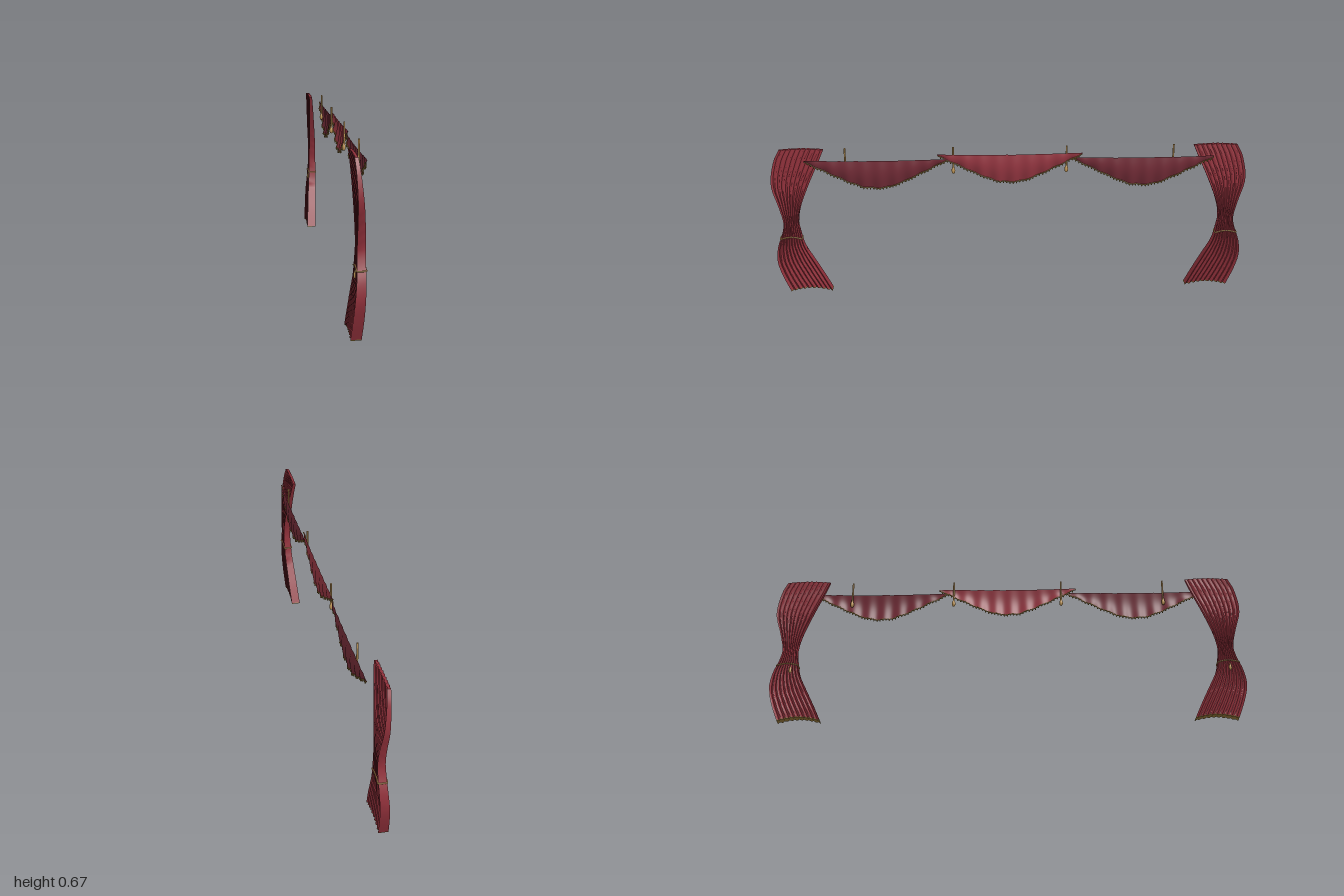
import * as THREE from 'three';
import { mergeGeometries, toCreasedNormals } from 'three/addons/utils/BufferGeometryUtils.js';

const mat = (name, color, side = THREE.FrontSide) => {
  const m = new THREE.MeshStandardMaterial({ color, side });
  m.name = name;
  return m;
};

// Curtain outline rows: height, inner z, outer z, back x, front x
const ROWS = [
  [0, 0.773, 0.952, -0.041, -0.001],
  [0.08, 0.81, 0.982, -0.035, 0.004],
  [0.15, 0.845, 0.998, -0.03, 0.007],
  [0.22, 0.878, 0.99, -0.024, 0.01],
  [0.28, 0.89, 0.968, -0.021, 0.011],
  [0.33, 0.896, 0.958, -0.019, 0.011],
  [0.4, 0.882, 0.972, -0.019, 0.009],
  [0.5, 0.842, 0.998, -0.021, 0.001],
  [0.6, 0.795, 0.982, -0.025, -0.009],
  [0.65, 0.773, 0.957, -0.029, -0.015],
];

// Smooth interpolation of the outline at height y
function outline(y) {
  let i = 0;
  while (i < ROWS.length - 2 && y > ROWS[i + 1][0]) i++;
  const a = ROWS[i], b = ROWS[i + 1], p = ROWS[Math.max(i - 1, 0)], n = ROWS[Math.min(i + 2, ROWS.length - 1)];
  const h = b[0] - a[0], t = (y - a[0]) / h, t2 = t * t, t3 = t2 * t;
  return [1, 2, 3, 4].map((k) => {
    const ma = ((b[k] - p[k]) / (b[0] - p[0])) * h, mb = ((n[k] - a[k]) / (n[0] - a[0])) * h;
    return (2 * t3 - 3 * t2 + 1) * a[k] + (t3 - 2 * t2 + t) * ma + (3 * t2 - 2 * t3) * b[k] + (t3 - t2) * mb;
  });
}

// Height of a curtain point: arched hem and slightly domed top
const lift = (y, s) =>
  y + Math.sin(Math.PI * s) * (0.015 * Math.max(0, 1 - y / 0.15) + 0.005 * Math.max(0, (y - 0.55) / 0.1));

// Pleated closed slab between two heights; side is +1 or -1 along z
function pleatedSlab(y0, y1, steps, side) {
  const pleats = 9, n = pleats * 12, loop = 2 * (n + 1), pos = [], idx = [];
  for (let j = 0; j <= steps; j++) {
    const y = y0 + ((y1 - y0) * j) / steps;
    const [zi, zo, xb, xf] = outline(y);
    for (let i = 0; i < loop; i++) {
      const front = i <= n, s = (front ? i : loop - 1 - i) / n;
      const dent = 0.3 * (xf - xb) * (1 - Math.abs(Math.cos(Math.PI * pleats * s)));
      pos.push(front ? xf - dent : xb + dent, lift(y, s), side * (zi + (zo - zi) * s));
    }
  }
  const tri = (a, b, c) => (side > 0 ? idx.push(a, b, c) : idx.push(a, c, b));
  for (let j = 0; j < steps; j++) {
    for (let i = 0; i < loop; i++) {
      const a = j * loop + i, b = j * loop + ((i + 1) % loop);
      tri(a, a + loop, b);
      tri(b, a + loop, b + loop);
    }
  }
  const top = steps * loop;
  for (let i = 0; i < n; i++) {
    const k = loop - 1 - i;
    tri(i, i + 1, k);
    tri(i + 1, k - 1, k);
    tri(top + i, top + k, top + i + 1);
    tri(top + i + 1, top + k, top + k - 1);
  }
  const g = new THREE.BufferGeometry();
  g.setAttribute('position', new THREE.Float32BufferAttribute(pos, 3));
  g.setIndex(idx);
  return toCreasedNormals(g, 0.8);
}

// Tieback cord looped round the curtain waist
function tiebackGeometry(side) {
  const [zi, zo, xb, xf] = outline(0.257), e = 0.0005, pts = [];
  for (let i = 0; i <= 6; i++) pts.push([xf + e, i / 6]);
  for (let i = 6; i >= 0; i--) pts.push([xb - e, i / 6]);
  const path = new THREE.CatmullRomCurve3(
    pts.map(([x, s]) => new THREE.Vector3(x, 0.257 + 0.009 * Math.sin(Math.PI * s), side * (zi - e + (zo - zi + 2 * e) * s))),
    true, 'catmullrom', 0.2);
  return new THREE.TubeGeometry(path, 96, 0.0027, 12, true);
}

// Smooth teardrop tassel hanging down from its origin
function tasselGeometry(r, h) {
  const profile = [[0, -1], [0.5, -0.96], [0.85, -0.84], [1, -0.66], [0.9, -0.46], [0.62, -0.27], [0.4, -0.12], [0, 0]];
  return new THREE.LatheGeometry(profile.map(([x, y]) => new THREE.Vector2(x * r, y * h)), 20);
}

// Swag drop below its top edge, from the middle (0) to the tip (1)
const DROP = [[0, 0.123], [0.2, 0.116], [0.4, 0.092], [0.6, 0.064], [0.8, 0.035], [1, 0.007]];
function drop(u) {
  const a = Math.min(Math.abs(u), 0.9999) * 5, i = Math.floor(a);
  return DROP[i][1] + (DROP[i + 1][1] - DROP[i][1]) * (a - i);
}

// Point on a swag: u from -1 to 1 along it, v from 0 (top) to 1 (hem)
function swagPoint(zc, half, top, u, v) {
  const ripple = Math.sin(u * half * 95) * (0.001 + 0.003 * v);
  return new THREE.Vector3(
    0.031 - 0.004 * v + ripple + 0.008 * Math.sin(Math.PI * v) * (1 - u * u),
    top + 0.005 * u * u - v * drop(u),
    zc - u * half);
}

function createSwag(zc, half, top, cloth, trim) {
  const group = new THREE.Group();
  group.name = 'swag';
  const sheet = new THREE.PlaneGeometry(2, 1, 120, 12), p = sheet.attributes.position;
  for (let i = 0; i < p.count; i++) {
    const q = swagPoint(zc, half, top, p.getX(i), 0.5 - p.getY(i));
    p.setXYZ(i, q.x, q.y, q.z);
  }
  sheet.computeVertexNormals();
  const drape = new THREE.Mesh(sheet, cloth);
  drape.name = 'swagCloth';

  // Cord along the hem with small hanging drops
  const hem = [];
  for (let i = 0; i <= 60; i++) hem.push(swagPoint(zc, half, top, -1 + i / 30, 1));
  const pieces = [new THREE.TubeGeometry(new THREE.CatmullRomCurve3(hem), 120, 0.0025, 8)];
  for (let i = 1; i < 44; i++) {
    const q = swagPoint(zc, half, top, -1 + i / 22, 1);
    pieces.push(new THREE.SphereGeometry(0.003, 8, 6).scale(1, 1.6, 1).translate(q.x, q.y - 0.004, q.z));
  }
  const fringe = new THREE.Mesh(mergeGeometries(pieces), trim);
  fringe.name = 'swagFringe';
  group.add(drape, fringe);
  return group;
}

export function createModel() {
  const model = new THREE.Group();
  model.name = 'stageCurtains';
  const red = mat('curtainRed', 0x8f303a);
  const centreRed = mat('centreSwagRed', 0x933540, THREE.DoubleSide);
  const darkRed = mat('sideSwagRed', 0x712b36, THREE.DoubleSide);
  const gold = mat('gold', 0xbd9455);
  const fringeGold = mat('fringeGold', 0x8c7036);

  const add = (parent, name, geometry, material) => {
    const mesh = new THREE.Mesh(geometry, material);
    mesh.name = name;
    parent.add(mesh);
    return mesh;
  };

  // Side curtains with hem, tieback and tassel
  for (const side of [1, -1]) {
    const curtain = new THREE.Group();
    curtain.name = side > 0 ? 'curtainNear' : 'curtainFar';
    add(curtain, 'curtainCloth', pleatedSlab(0.004, 0.65, 36, side), red);
    add(curtain, 'curtainHem', pleatedSlab(0, 0.004, 1, side), fringeGold);
    add(curtain, 'tieback', tiebackGeometry(side), gold);
    add(curtain, 'tiebackTassel', tasselGeometry(0.006, 0.034), gold).position.set(-0.023, 0.254, side * 0.927 + 0.01);
    model.add(curtain);
  }

  // Three swags across the top
  model.add(createSwag(0, 0.3, 0.636, centreRed, fringeGold));
  for (const side of [1, -1]) model.add(createSwag(side * 0.555, 0.295, 0.616, darkRed, fringeGold));

  // Hanging cords with tassels
  for (const z of [0.68, 0.235, -0.235, -0.68]) {
    const cord = new THREE.Group();
    cord.name = 'hangingCord';
    add(cord, 'cord', new THREE.CylinderGeometry(0.0038, 0.0038, 0.09, 16), gold).position.set(0.0015, 0.625, 0);
    add(cord, 'cordTassel', tasselGeometry(0.0078, 0.036), gold).position.y = 0.588;
    cord.position.set(0.021, 0, z);
    model.add(cord);
  }
  return model;
}
